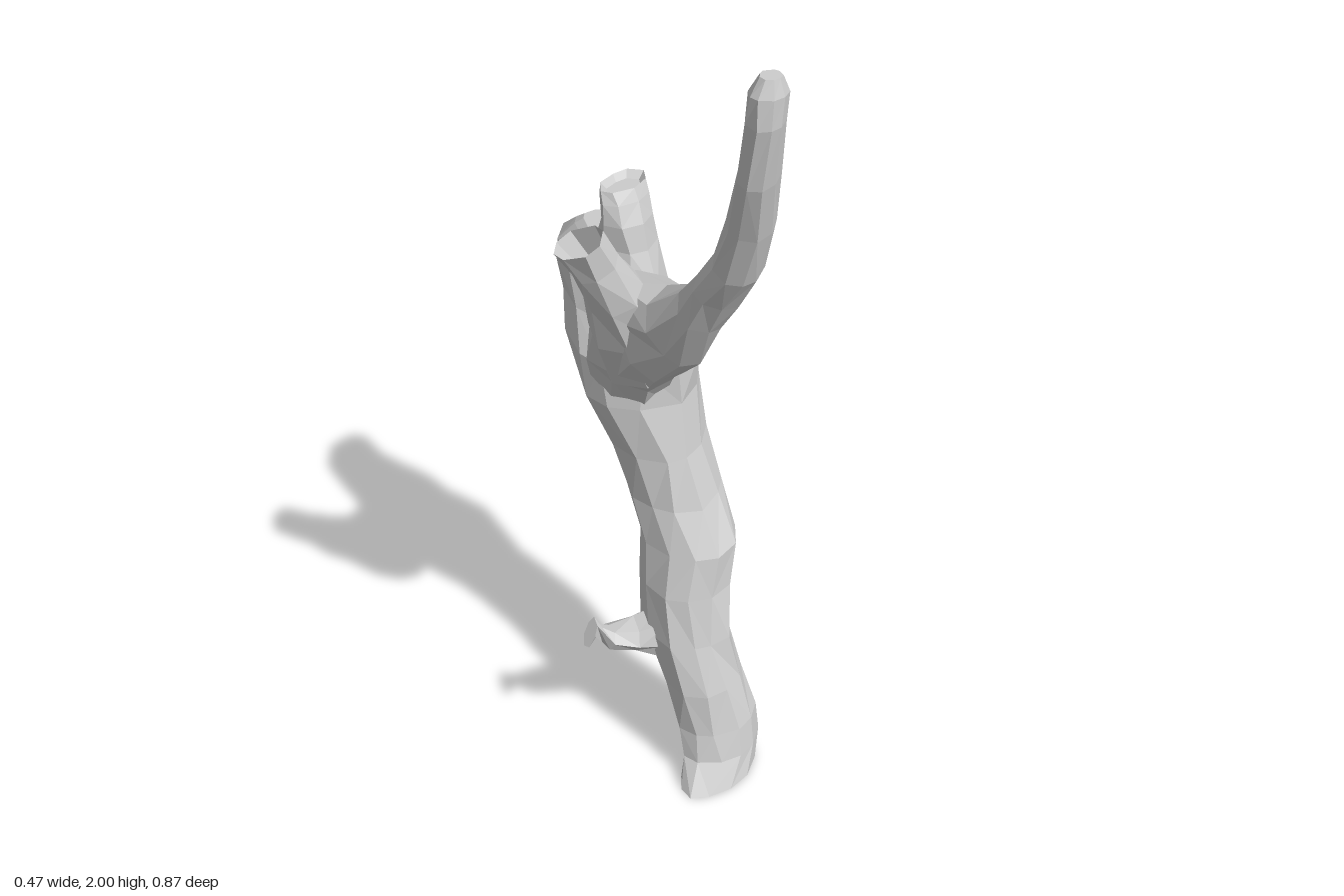
import * as THREE from 'three';

const material = new THREE.MeshStandardMaterial({ color: 0xcccccc, flatShading: true, side: THREE.DoubleSide });

// Small repeatable unevenness for the bark, -1..1
const rough = (i, j, seed) => {
  const s = Math.sin(i * 12.99 + j * 78.23 + seed * 37.7) * 43758.55;
  return (s - Math.floor(s)) * 2 - 1;
};

// Skins rings [x, y, z, radiusA, radiusB] into a limb; the ends are closed with
// caps, sunken or domed. Flat limbs keep their rings level, others follow the path.
function limb(name, rows, { sides = 8, flat = false, bump = 0.08, startSink = 0, endSink = 0, seed = 1 } = {}) {
  const centers = rows.map(r => new THREE.Vector3(r[0], r[1], r[2]));
  const last = rows.length - 1;
  const rings = rows.map((r, i) => {
    const t = flat ? new THREE.Vector3(0, 1, 0)
      : centers[Math.min(i + 1, last)].clone().sub(centers[Math.max(i - 1, 0)]).normalize();
    const u = Math.abs(t.x) > 0.8 ? new THREE.Vector3(0, 0, 1) : new THREE.Vector3(1, 0, 0);
    u.addScaledVector(t, -u.dot(t)).normalize();
    const v = t.clone().cross(u);
    return Array.from({ length: sides }, (_, j) => {
      const a = ((j + rough(i, j, seed + 5) * 0.2) / sides) * Math.PI * 2;
      const k = 1 + bump * rough(i, j, seed);
      return centers[i].clone()
        .addScaledVector(u, Math.cos(a) * r[3] * k)
        .addScaledVector(v, Math.sin(a) * (r[4] ?? r[3]) * k);
    });
  });
  // End cap: a slightly smaller ring pushed inward, then a centre point
  const cap = (ring, c, inner, sink) => {
    const d = inner.clone().sub(c).normalize().multiplyScalar(sink);
    return [0.75, 0].map(s => ring.map(p => p.clone().sub(c).multiplyScalar(s).add(c).add(d)));
  };
  const start = cap(rings[0], centers[0], centers[1], startSink).reverse();
  const end = cap(rings[last], centers[last], centers[last - 1], endSink);
  const all = [...start, ...rings, ...end];

  const index = [];
  for (let i = 0; i < all.length - 1; i++) {
    for (let j = 0; j < sides; j++) {
      const a = i * sides + j, b = i * sides + (j + 1) % sides;
      const c = b + sides, d = a + sides;
      // Alternate the diagonals for irregular facets
      if (rough(i, j, seed + 9) > 0) index.push(a, b, c, a, c, d);
      else index.push(a, b, d, b, c, d);
    }
  }
  const geometry = new THREE.BufferGeometry().setFromPoints(all.flat());
  geometry.setIndex(index);
  geometry.computeVertexNormals();
  const mesh = new THREE.Mesh(geometry, material);
  mesh.name = name;
  return mesh;
}

export function createModel() {
  const group = new THREE.Group();
  group.name = 'deadTree';

  // Leaning trunk, ending in the low broken lump at the back
  group.add(limb('trunk', [
    [-0.03, 0, 0.208, 0.112, 0.063],
    [0.008, 0.06, 0.18, 0.103, 0.074],
    [0.018, 0.13, 0.153, 0.106, 0.082],
    [0.012, 0.24, 0.113, 0.1, 0.094],
    [0.013, 0.36, 0.056, 0.095, 0.11],
    [0.04, 0.48, 0.03, 0.102, 0.113],
    [0.07, 0.58, 0.013, 0.107, 0.12],
    [0.08, 0.68, -0.05, 0.106, 0.113],
    [0.083, 0.8, -0.105, 0.11, 0.113],
    [0.088, 0.93, -0.16, 0.142, 0.13],
    [0.09, 1.03, -0.19, 0.132, 0.162],
    [0.108, 1.1, -0.245, 0.112, 0.148],
    [0.112, 1.16, -0.295, 0.09, 0.138],
    [0.112, 1.21, -0.315, 0.076, 0.115],
    [0.12, 1.25, -0.31, 0.062, 0.075],
  ], { sides: 11, flat: true, bump: 0.06, startSink: 0.05, endSink: -0.015, seed: 2 }));

  // Upright shard of the broken back limb
  group.add(limb('brokenShard', [
    [0.115, 1.03, -0.2, 0.1, 0.11],
    [0.125, 1.15, -0.235, 0.083, 0.09],
    [0.13, 1.24, -0.252, 0.07, 0.07],
    [0.13, 1.3, -0.25, 0.06, 0.052],
    [0.14, 1.345, -0.268, 0.065, 0.045],
    [0.145, 1.372, -0.277, 0.066, 0.038],
  ], { sides: 8, flat: true, bump: 0.06, endSink: 0.015, seed: 4 }));

  // Long branch curving forward and up
  group.add(limb('longBranch', [
    [0.06, 0.93, -0.17, 0.09],
    [0.025, 1.065, -0.125, 0.105, 0.115],
    [-0.02, 1.155, -0.06, 0.1, 0.125],
    [-0.055, 1.23, 0.02, 0.088, 0.125],
    [-0.075, 1.283, 0.115, 0.075, 0.09],
    [-0.087, 1.375, 0.195, 0.062, 0.055],
    [-0.092, 1.45, 0.243, 0.06, 0.052],
    [-0.095, 1.53, 0.295, 0.06, 0.052],
    [-0.112, 1.65, 0.338, 0.056, 0.044],
    [-0.135, 1.78, 0.378, 0.05, 0.037],
    [-0.147, 1.91, 0.4, 0.045, 0.034],
    [-0.146, 1.965, 0.403, 0.043, 0.032],
    [-0.143, 1.998, 0.404, 0.025, 0.02],
  ], { sides: 9, bump: 0.07, seed: 3 }));

  // Short hollow stub beside the long branch
  group.add(limb('hollowStub', [
    [-0.02, 1.1, -0.05, 0.09],
    [-0.07, 1.22, -0.038, 0.085, 0.09],
    [-0.12, 1.32, -0.035, 0.065, 0.072],
    [-0.158, 1.4, -0.045, 0.052, 0.06],
    [-0.183, 1.455, -0.065, 0.05, 0.068],
  ], { sides: 8, bump: 0.06, endSink: 0.07, seed: 6 }));

  // Little twig low on the trunk
  group.add(limb('twig', [
    [-0.03, 0.335, 0.02, 0.06, 0.07],
    [-0.09, 0.342, -0.015, 0.048, 0.038],
    [-0.15, 0.355, -0.042, 0.042, 0.025],
    [-0.195, 0.388, -0.053, 0.037, 0.02],
  ], { sides: 7, bump: 0.08, seed: 7 }));

  return group;
}
